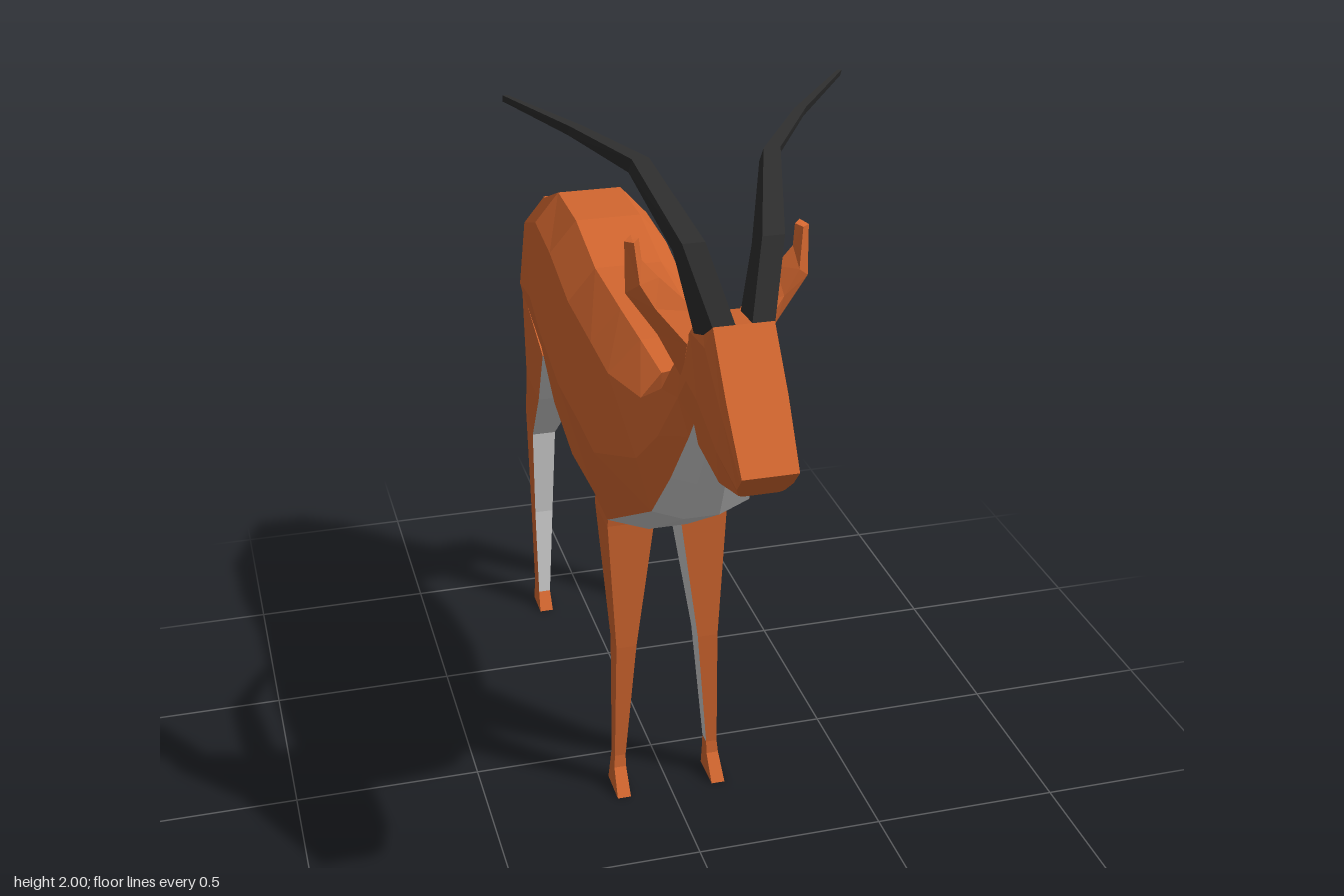
import * as THREE from 'three';

const COAT = 0xd2662f, PALE = 0xcccccc, HORN = 0x2e2e2e;
const materials = new Map([COAT, PALE, HORN].map(color =>
  [color, new THREE.MeshStandardMaterial({ color, flatShading: true })]));

// Skin a list of equal-sized rings, cap both ends, and split the faces by colour.
// colorOf(segment, side) chooses the colour of each quad.
function loft(name, rings, colorOf, capColor = COAT) {
  const tris = [];
  const n = rings[0].length;
  for (let i = 0; i < rings.length - 1; i++) {
    for (let j = 0; j < n; j++) {
      const k = (j + 1) % n, color = colorOf(i, j);
      const [a, b, c, d] = [rings[i][j], rings[i][k], rings[i + 1][k], rings[i + 1][j]];
      tris.push({ color, p: [a, b, c] }, { color, p: [a, c, d] });
    }
  }
  const cap = (ring, flip) => {
    const mid = [0, 1, 2].map(a => ring.reduce((s, p) => s + p[a], 0) / n);
    ring.forEach((p, j) => {
      const q = ring[(j + 1) % n];
      tris.push({ color: capColor, p: flip ? [mid, q, p] : [mid, p, q] });
    });
  };
  cap(rings[0], true);
  cap(rings[rings.length - 1], false);

  // Signed volume tells whether the skin faces outwards
  let volume = 0;
  for (const { p } of tris) {
    const [a, b, c] = p.map(q => new THREE.Vector3(...q));
    volume += a.dot(b.cross(c));
  }

  const byColor = new Map();
  for (const { color, p } of tris) {
    if (!byColor.has(color)) byColor.set(color, []);
    byColor.get(color).push(...(volume < 0 ? [p[0], p[2], p[1]] : p).flat());
  }
  const group = new THREE.Group();
  group.name = name;
  for (const [color, pos] of byColor) {
    const g = new THREE.BufferGeometry();
    g.setAttribute('position', new THREE.Float32BufferAttribute(pos, 3));
    g.computeVertexNormals();
    const mesh = new THREE.Mesh(g, materials.get(color));
    mesh.name = name + (color === PALE ? 'PaleSide' : 'Surface');
    group.add(mesh);
  }
  return group;
}

const mirrorRing = (ring, s) => ring.map(([x, y, z]) => [x * s, y, z]);

// Ten-sided body ring: half width of the back, largest half width,
// then y and z of the top and of the underside
function bodyRing([back, wide, topY, topZ, lowY, lowZ]) {
  const at = (x, t) => [x, topY + (lowY - topY) * t, topZ + (lowZ - topZ) * t];
  const half = [
    at(back, 0), at(back + (wide - back) * 0.7, 0.15), at(wide, 0.55),
    at(wide * 0.82, 0.92), at(back * 0.65, 1),
  ];
  return [...half, ...mirrorRing(half, -1).reverse()];
}

// Four-sided leg ring: inner x, outer x, front z, front y, back z, back y
const legRing = ([xi, xo, zf, yf, zb, yb]) =>
  [[xi, yf, zf], [xo, yf, zf], [xo, yb, zb], [xi, yb, zb]];

// Four-sided horn ring: centre x, y, z, half width, half depth in z and y
const hornRing = ([x, y, z, w, dz, dy]) =>
  [[x - w, y + dy, z + dz], [x + w, y + dy, z + dz], [x + w, y - dy, z - dz], [x - w, y - dy, z - dz]];

export function createModel() {
  const model = new THREE.Group();
  model.name = 'antelope';

  // Head, neck and trunk, from the nose to the rump
  const body = [
    [.065, .064, 1.355, .985, 1.28, .92],
    [.07, .08, 1.49, .88, 1.25, .82],
    [.07, .09, 1.62, .775, 1.27, .68],
    [.05, .09, 1.59, .62, 1.31, .655],
    [.05, .095, 1.5, .54, 1.27, .635],
    [.055, .12, 1.38, .455, 1.125, .555],
    [.07, .15, 1.33, .36, .99, .475],
    [.08, .197, 1.35, .2, .8, .17],
    [.085, .197, 1.36, .02, .805, .02],
    [.09, .197, 1.375, -.23, .79, -.23],
    [.09, .197, 1.43, -.45, .845, -.45],
    [.09, .192, 1.435, -.67, .925, -.56],
    [.085, .17, 1.335, -.91, .9, -.82],
  ].map(bodyRing);
  model.add(loft('body', body, (i, j) => (i >= 3 && i <= 10 && j >= 3 && j <= 5 ? PALE : COAT)));

  // Tail hanging behind the rump
  const tail = [
    [-.08, .08, -.925, 1.335, -.84, 1.32],
    [-.055, .055, -.952, 1.19, -.865, 1.2],
    [-.05, .05, -.96, 1.03, -.85, 1.03],
    [-.045, .045, -.95, .92, -.845, .92],
    [-.025, .025, -.935, .8, -.895, .8],
  ].map(legRing);
  model.add(loft('tail', tail, () => COAT));

  const frontLeg = [
    [.03, .155, .18, .95, .03, .95],
    [.035, .16, .167, .82, .03, .82],
    [.085, .14, .17, .45, .105, .45],
    [.115, .145, .162, .1, .125, .1],
    [.115, .148, .167, .065, .122, .065],
    [.115, .152, .22, 0, .112, 0],
  ].map(legRing);

  const hindLeg = [
    [.025, .165, -.58, .98, -.855, 1.08],
    [.04, .158, -.69, .79, -.862, .8],
    [.07, .14, -.885, .58, -.982, .625],
    [.085, .14, -.88, .31, -.942, .31],
    [.11, .145, -.83, .05, -.892, .06],
    [.11, .15, -.792, 0, -.885, 0],
  ].map(legRing);

  const horn = [
    [.045, 1.575, .717, .026, .058, .045],
    [.09, 1.762, .655, .026, .036, .022],
    [.152, 1.89, .465, .02, .014, .02],
    [.265, 1.938, .33, .014, .008, .013],
    [.4, 1.99, .218, .006, .004, .008],
  ].map(hornRing);

  // Ear rings: upper edge, front, outer edge, back
  const ear = [
    [[.05, 1.58, .59], [.085, 1.52, .63], [.085, 1.42, .59], [.06, 1.51, .545]],
    [[.135, 1.665, .575], [.15, 1.6, .6], [.14, 1.53, .58], [.13, 1.58, .542]],
    [[.175, 1.71, .575], [.185, 1.66, .597], [.213, 1.635, .575], [.185, 1.65, .542]],
    [[.18, 1.76, .57], [.195, 1.755, .585], [.213, 1.755, .57], [.195, 1.765, .558]],
  ];

  // Paired parts
  for (const [side, s] of [['left', 1], ['right', -1]]) {
    const pair = (name, rings, colorOf, capColor) =>
      model.add(loft(side + name, rings.map(r => mirrorRing(r, s)), colorOf, capColor));
    pair('FrontLeg', frontLeg, (i, j) => (i < 3 && j >= 2 ? PALE : COAT));
    pair('HindLeg', hindLeg, (i, j) => (i < 4 && j === 0 ? PALE : COAT));
    pair('Horn', horn, () => HORN, HORN);
    pair('Ear', ear, () => COAT);
  }
  return model;
}
